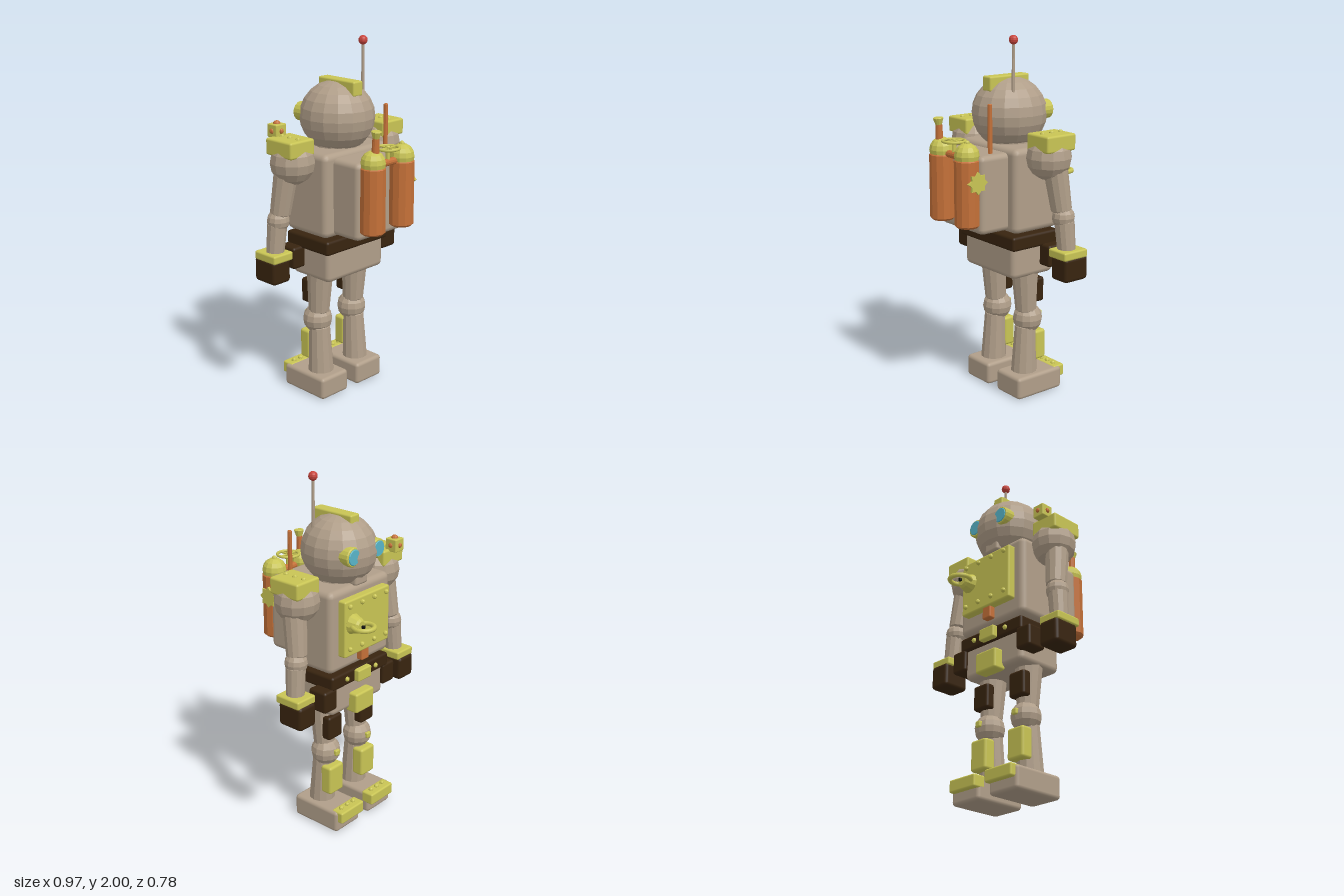
import * as THREE from 'three';
import { RoundedBoxGeometry } from 'three/addons/geometries/RoundedBoxGeometry.js';

const paint = (name, color) => Object.assign(new THREE.MeshStandardMaterial({ color }), { name });

export function createModel() {
  const model = new THREE.Group();
  model.name = 'robot';
  const tan = paint('tan metal', 0xb09e89), yellow = paint('yellow metal', 0xc8c454);
  const orange = paint('copper', 0xc47038), brown = paint('dark brown', 0x38240f);
  const red = paint('red', 0xc8443c), cyan = paint('cyan glass', 0x58b4c8), black = paint('black', 0x111111);

  const add = (name, geo, mat, x, y, z) => {
    const m = new THREE.Mesh(geo, mat);
    m.name = name;
    m.position.set(x, y, z);
    model.add(m);
    return m;
  };
  const flat = (geo) => {
    const g = geo.index ? geo.toNonIndexed() : geo;
    g.computeVertexNormals();
    return g;
  };
  // rounded box given by its limits on each axis
  const box = (name, mat, [x0, x1], [y0, y1], [z0, z1], r = 0.015) =>
    add(name, new RoundedBoxGeometry(x1 - x0, y1 - y0, z1 - z0, 2, r), mat,
      (x0 + x1) / 2, (y0 + y1) / 2, (z0 + z1) / 2);
  const ball = (name, mat, r, x, y, z, w = 12, h = 8) =>
    add(name, flat(new THREE.SphereGeometry(r, w, h)), mat, x, y, z);
  const rivet = (x, y, z, mat = yellow, r = 0.014) => ball('rivet', mat, r, x, y, z, 8, 6);
  // bevelled, tapered rod between two points
  const rod = (name, mat, a, b, ra, rb, bevel = 0.012, sides = 12) => {
    const p = new THREE.Vector3(...a), q = new THREE.Vector3(...b), len = p.distanceTo(q);
    const profile = [[0, 0], [ra - bevel, 0], [ra, bevel], [rb, len - bevel], [rb - bevel, len], [0, len]]
      .map(([r, y]) => new THREE.Vector2(r, y));
    const m = add(name, flat(new THREE.LatheGeometry(profile, sides)), mat, ...a);
    m.quaternion.setFromUnitVectors(new THREE.Vector3(0, 1, 0), q.sub(p).normalize());
    return m;
  };
  // interval around a centre, for box limits
  const span = (c, w) => [c - w / 2, c + w / 2];

  // head
  ball('head', tan, 0.2, 0, 1.575, -0.05, 16, 12).scale.set(1, 0.98, 1.05);
  rod('neck', tan, [0, 1.38, -0.05], [0, 1.46, -0.05], 0.13, 0.13);
  box('chin', tan, [-0.05, 0.05], [1.41, 1.475], [-0.21, -0.1]);
  box('crest', yellow, [-0.035, 0.035], [1.7, 1.78], [-0.16, 0.107], 0.01);
  for (const x of [-0.1, 0.1]) {
    rod('eyeRim', yellow, [x, 1.59, -0.15], [x, 1.59, -0.236], 0.053, 0.053, 0.005, 16);
    rod('eyeLens', cyan, [x, 1.59, -0.234], [x, 1.59, -0.242], 0.043, 0.043, 0.003, 16);
  }
  rod('antenna', tan, [0.122, 1.7, 0.022], [0.122, 1.97, 0.022], 0.009, 0.008, 0.002, 8);
  ball('antennaTip', red, 0.025, 0.122, 1.975, 0.022, 10, 8);

  // torso and riveted chest plate
  box('torso', tan, [-0.245, 0.245], [0.96, 1.42], [-0.205, 0.107], 0.035);
  box('chestPlate', yellow, [-0.183, 0.183], [1.055, 1.37], [-0.25, -0.19], 0.01);
  for (const x of [-0.148, -0.05, 0.05, 0.148]) for (const y of [1.1, 1.34]) rivet(x, y, -0.255);
  box('chestTap', orange, [-0.03, 0.03], [0.99, 1.065], [-0.24, -0.18], 0.008);
  rod('hookBase', yellow, [0.122, 1.237, -0.24], [0.122, 1.237, -0.31], 0.056, 0.04);
  add('hookRing', new THREE.TorusGeometry(0.057, 0.013, 8, 24), yellow, 0.122, 1.237, -0.323).rotation.x = Math.PI / 2;
  box('hookPin', black, span(0.122, 0.016), span(1.237, 0.016), span(-0.323, 0.016), 0.002);

  // belt and pelvis
  box('pelvis', tan, [-0.217, 0.217], [0.7, 0.89], [-0.19, 0.097], 0.03);
  box('belt', brown, [-0.235, 0.235], [0.865, 0.945], [-0.21, 0.11], 0.015);
  box('buckle', yellow, [-0.055, 0.055], [0.87, 0.937], [-0.24, -0.19], 0.008);
  box('pelvisPlate', yellow, [-0.075, 0.075], [0.685, 0.8], [-0.243, -0.165], 0.012);

  for (const s of [-1, 1]) {
    const at = (x, w) => span(s * x, w);
    rivet(s * 0.12, 0.905, -0.212);
    box('beltPouch', brown, at(0.245, 0.1), [0.755, 0.878], [-0.21, -0.09]);

    // arm
    ball('shoulder', tan, 0.122, s * 0.33, 1.38, -0.05);
    box('shoulderPad', yellow, at(0.346, 0.17), [1.42, 1.51], [-0.147, 0.047], 0.012);
    for (const z of [-0.112, -0.052, 0.01]) rivet(s * 0.346, 1.508, z);
    rod('upperArm', tan, [s * 0.362, 1.36, -0.06], [s * 0.385, 1.09, -0.095], 0.066, 0.056);
    ball('elbow', tan, 0.062, s * 0.395, 1.062, -0.098);
    rod('forearm', tan, [s * 0.4, 1.05, -0.1], [s * 0.415, 0.87, -0.107], 0.054, 0.049);
    box('cuff', yellow, at(0.418, 0.136), [0.845, 0.892], [-0.193, -0.033], 0.01);
    box('hand', brown, at(0.419, 0.124), [0.72, 0.855], [-0.203, -0.045], 0.02);

    // leg
    rod('thigh', tan, [s * 0.136, 0.475, -0.062], [s * 0.136, 0.74, -0.05], 0.06, 0.076);
    box('thighPlate', brown, at(0.136, 0.11), [0.53, 0.67], [-0.148, -0.09], 0.015);
    ball('knee', tan, 0.083, s * 0.136, 0.432, -0.073);
    box('kneeStud', yellow, at(0.136, 0.035), [0.425, 0.46], [-0.165, -0.13], 0.008);
    rod('shin', tan, [s * 0.138, 0.11, -0.046], [s * 0.136, 0.4, -0.058], 0.073, 0.06);
    box('shinPlate', yellow, at(0.137, 0.115), [0.19, 0.36], [-0.158, -0.085], 0.015);
    box('foot', tan, at(0.138, 0.203), [0, 0.127], [-0.242, 0.072], 0.02);
    box('toePlate', yellow, at(0.131, 0.19), [0.062, 0.13], [-0.272, -0.195], 0.01);
    for (const d of [-0.05, 0, 0.05]) rivet(s * 0.131 + d, 0.132, -0.227);

    // tank with domed cap
    rod('tank', orange, [s * 0.111, 1.018, 0.321], [s * 0.111, 1.385, 0.321], 0.068, 0.068);
    ball('tankCap', yellow, 0.067, s * 0.111, 1.4, 0.321);
  }

  // shoulder lamp with a lens on every open face
  const lamp = [-0.345, 1.535, -0.152];
  box('shoulderLamp', yellow, ...lamp.map((c) => span(c, 0.072)), 0.006);
  for (const [dx, dy, dz] of [[1, 0, 0], [-1, 0, 0], [0, 1, 0], [0, 0, 1], [0, 0, -1]]) {
    rivet(lamp[0] + dx * 0.032, lamp[1] + dy * 0.032, lamp[2] + dz * 0.032, orange, dy ? 0.021 : 0.015);
  }

  // backpack
  box('backpack', tan, [-0.185, 0.185], [0.975, 1.397], [0.08, 0.285], 0.03);
  rod('copperAerial', orange, [0.13, 1.37, 0.184], [0.13, 1.655, 0.184], 0.012, 0.012, 0.003, 8);
  rod('tankPipe', orange, [-0.11, 1.385, 0.321], [0.11, 1.385, 0.321], 0.02, 0.02, 0.004);
  rod('valvePost', orange, [-0.111, 1.44, 0.335], [-0.111, 1.54, 0.338], 0.021, 0.018, 0.004);
  rod('valveCup', yellow, [-0.111, 1.525, 0.338], [-0.111, 1.572, 0.342], 0.016, 0.028, 0.004);
  rivet(0.111, 1.465, 0.319, yellow, 0.015);

  // valve wheel over the pipe
  add('valveWheel', new THREE.TorusGeometry(0.06, 0.008, 8, 24), yellow, 0, 1.46, 0.321).rotation.x = Math.PI / 2;
  rod('wheelStem', yellow, [0, 1.39, 0.321], [0, 1.472, 0.321], 0.012, 0.012, 0.003, 8);
  box('wheelSpoke', yellow, [-0.06, 0.06], [1.455, 1.465], [0.316, 0.326], 0.003);
  box('wheelSpoke', yellow, [-0.005, 0.005], [1.455, 1.465], [0.261, 0.381], 0.003);

  // toothed gauge on the pack's side
  const gear = new THREE.Shape(Array.from({ length: 16 }, (_, i) => {
    const a = (i / 16) * Math.PI * 2, r = i % 2 ? 0.044 : 0.06;
    return new THREE.Vector2(Math.cos(a) * r, Math.sin(a) * r);
  }));
  add('gauge', new THREE.ExtrudeGeometry(gear, { depth: 0.022, bevelEnabled: false }), yellow,
    0.164, 1.262, 0.302).rotation.y = Math.PI / 2;

  return model;
}
